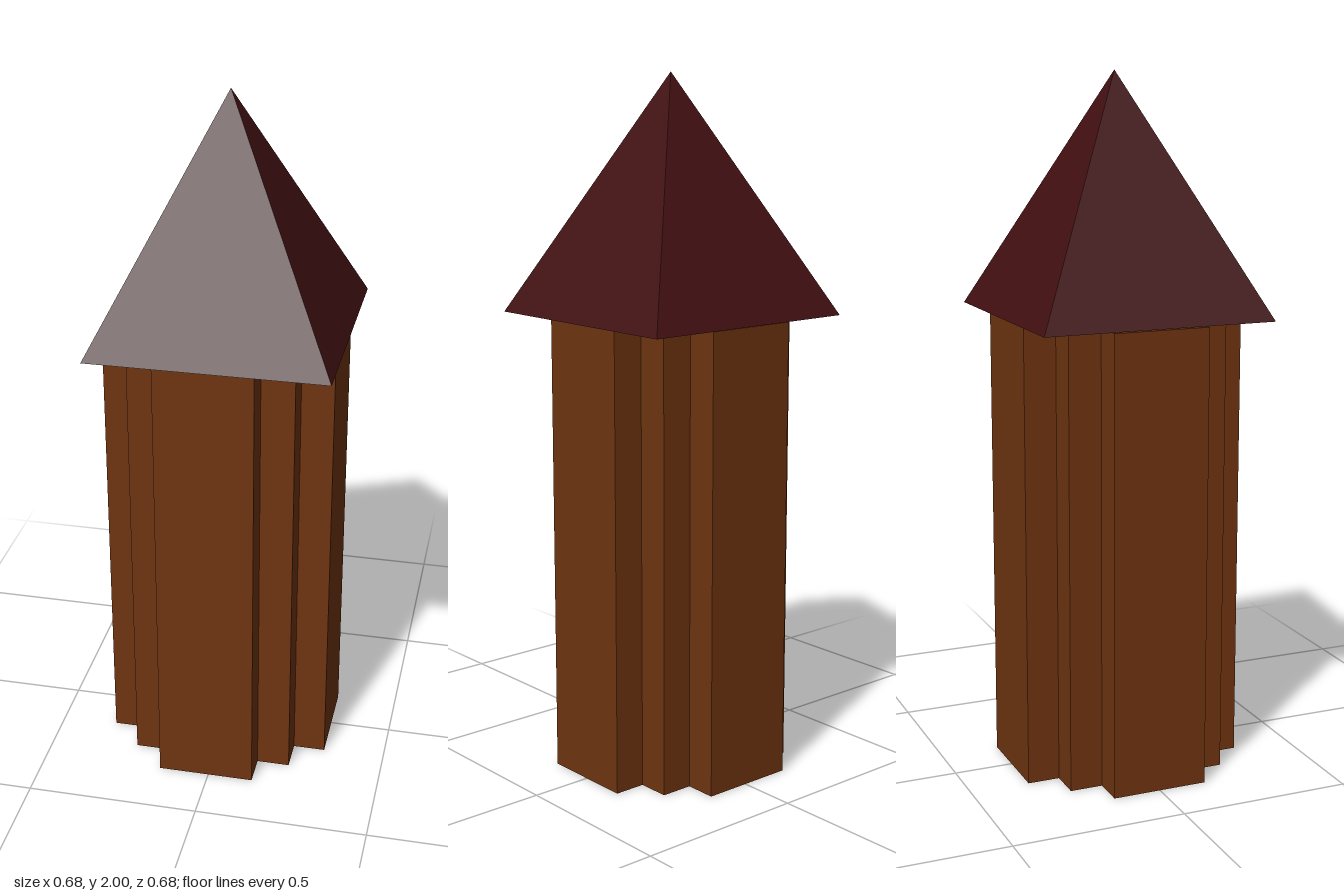
import * as THREE from 'three';

export function createModel() {
  const wood = new THREE.MeshStandardMaterial({ name: 'brown wood', color: 0x6f3411 });
  const tile = new THREE.MeshStandardMaterial({ name: 'dark red roof', color: 0x421012 });
  const model = new THREE.Group();
  model.name = 'tower';

  // Square plan with two steps cut into each corner: each corner runs
  // through these offsets, turned a quarter round for the next corner.
  const a = 0.14, b = 0.235, c = 0.328;
  const corner = [[c, a], [b, a], [b, b], [a, b], [a, c]];
  const points = [];
  for (let q = 0; q < 4; q++) {
    for (const [x, y] of corner) {
      points.push(new THREE.Vector2(x, y).rotateAround(new THREE.Vector2(), q * Math.PI / 2));
    }
  }
  const wallHeight = 1.322;
  const wallGeometry = new THREE.ExtrudeGeometry(new THREE.Shape(points), {
    depth: wallHeight, bevelEnabled: false,
  });
  wallGeometry.rotateX(-Math.PI / 2);
  const walls = new THREE.Mesh(wallGeometry, wood);
  walls.name = 'steppedWalls';
  walls.position.x = -0.008;
  model.add(walls);

  // Four-sided pyramid roof with a closed underside
  const roofBase = 1.325, roofHalf = 0.339;
  const roofGeometry = new THREE.ConeGeometry(roofHalf * Math.SQRT2, 2 - roofBase, 4)
    .rotateY(Math.PI / 4)
    .toNonIndexed();
  roofGeometry.computeVertexNormals();
  const roof = new THREE.Mesh(roofGeometry, tile);
  roof.name = 'pyramidRoof';
  roof.position.y = (2 + roofBase) / 2;
  model.add(roof);

  return model;
}
